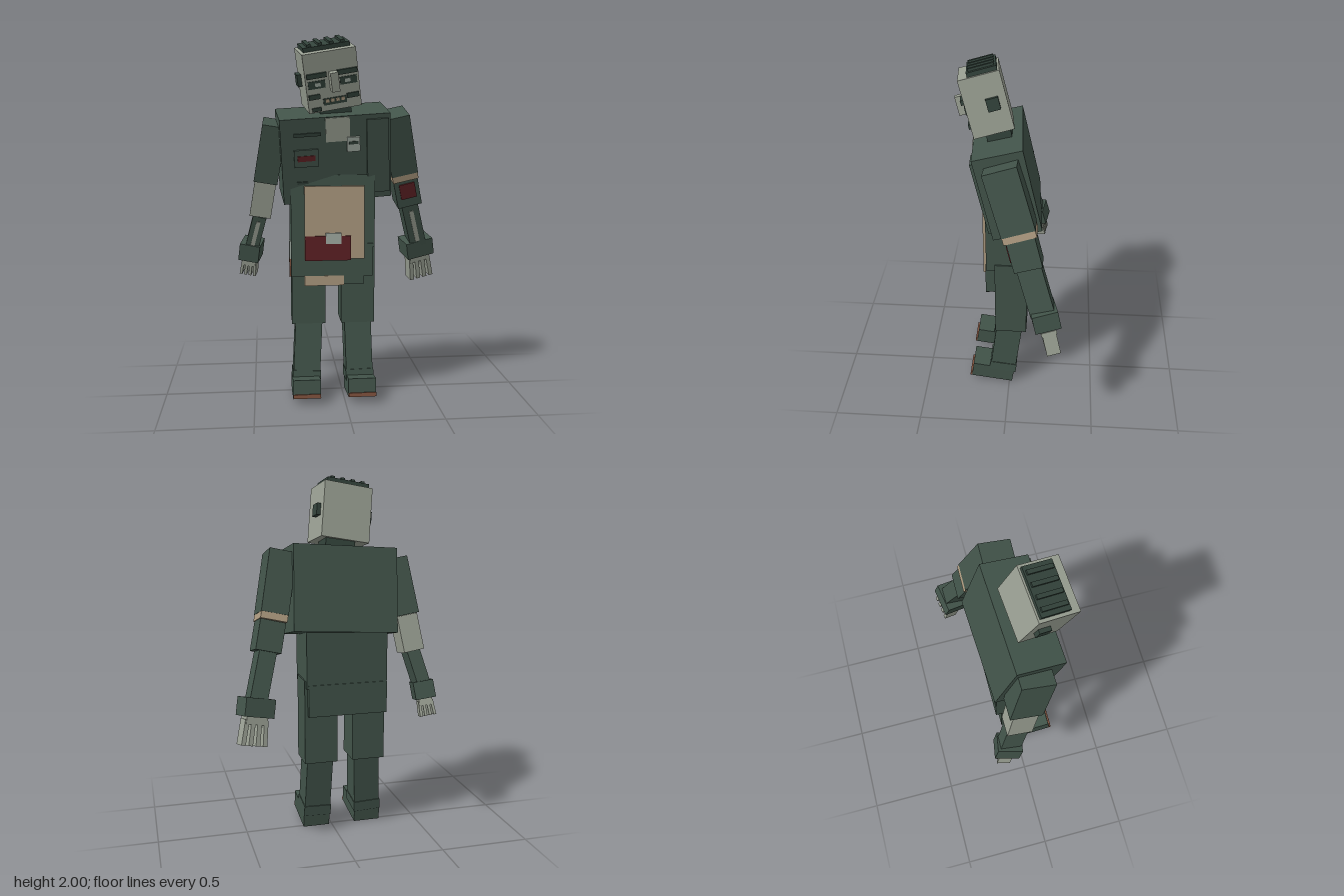
import * as THREE from 'three';

const mat = (name, color) => {
  const m = new THREE.MeshStandardMaterial({ color });
  m.name = name;
  return m;
};

export function createModel() {
  const root = new THREE.Group();
  root.name = 'blockyUndead';

  const green = mat('uniform green', 0x42544a);
  const dark = mat('dark green', 0x33433b);
  const grey = mat('pale skin', 0x9ba194);
  const beige = mat('cloth beige', 0xae9b80);
  const red = mat('dark red', 0x5e2124);
  const brown = mat('brown', 0x7d503c);
  const pale = mat('pale tag', 0xa3ada4);

  const rad = THREE.MathUtils.degToRad;
  const group = (name, x, y, z, rx = 0, ry = 0, rz = 0) => {
    const g = new THREE.Group();
    g.name = name;
    g.position.set(x, y, z);
    g.rotation.set(rad(rx), rad(ry), rad(rz));
    root.add(g);
    return g;
  };
  const box = (parent, name, material, w, h, d, x = 0, y = 0, z = 0) => {
    const m = new THREE.Mesh(new THREE.BoxGeometry(w, h, d), material);
    m.name = name;
    m.position.set(x, y, z);
    parent.add(m);
    return m;
  };
  // group whose y axis runs from b up to a, with z kept towards the front
  const limb = (name, a, b) => {
    const A = new THREE.Vector3(...a), B = new THREE.Vector3(...b);
    const g = group(name, 0, 0, 0);
    g.position.copy(A).add(B).multiplyScalar(0.5);
    const y = A.clone().sub(B).normalize();
    const x = y.clone().cross(new THREE.Vector3(0, 0, 1)).normalize();
    const z = x.clone().cross(y);
    g.quaternion.setFromRotationMatrix(new THREE.Matrix4().makeBasis(x, y, z));
    g.userData.length = A.distanceTo(B);
    return g;
  };
  const limbBox = (name, material, a, b, w, d) => {
    const g = limb(name, a, b);
    box(g, name + 'Block', material, w, g.userData.length, d);
    return g;
  };

  // Head
  const head = group('head', -0.087, 1.785, 0.134, 14, 8, 8);
  box(head, 'skull', grey, 0.285, 0.31, 0.215);
  box(head, 'hair', dark, 0.25, 0.025, 0.155, 0, 0.165, -0.02);
  for (let i = 0; i < 4; i++) {
    box(head, 'hairRidge', dark, 0.022, 0.015, 0.135, -0.09 + i * 0.06, 0.183, -0.02);
  }
  const f = 0.108;
  for (const s of [-1, 1]) {
    box(head, 'ear', dark, 0.03, 0.065, 0.065, s * 0.15, 0, -0.035);
    box(head, 'brow', dark, 0.105, 0.025, 0.03, s * 0.082, 0.04, f);
    box(head, 'eyeSocket', dark, 0.09, 0.04, 0.01, s * 0.085, -0.008, f);
    box(head, 'eye', pale, 0.03, 0.018, 0.008, s * 0.08, -0.008, f + 0.004);
  }
  box(head, 'rightCheekScar', dark, 0.06, 0.025, 0.02, -0.105, -0.07, f);
  box(head, 'leftCheekScar', dark, 0.065, 0.025, 0.02, 0.1, -0.09, f);
  box(head, 'chinScar', dark, 0.05, 0.02, 0.015, -0.1, -0.138, f);
  box(head, 'nose', grey, 0.042, 0.1, 0.06, 0.005, 0, f + 0.018);
  box(head, 'mouth', dark, 0.125, 0.035, 0.012, 0.002, -0.105, f);
  for (let i = 0; i < 4; i++) {
    box(head, 'tooth', beige, 0.018, 0.016, 0.009, -0.04 + i * 0.028, -0.1, f + 0.005);
  }
  const neck = group('neck', -0.05, 1.63, 0.065, 12, 4, 5);
  box(neck, 'neckBlock', dark, 0.17, 0.16, 0.13);

  // Chest with jacket details on its front plane
  const chest = group('chest', -0.05, 1.375, 0.018, 13, 4, 3);
  box(chest, 'jacket', green, 0.595, 0.47, 0.265);
  const c = 0.133;
  box(chest, 'leftVestPanel', green, 0.12, 0.41, 0.03, 0.225, 0.005, c);
  box(chest, 'undershirt', grey, 0.13, 0.13, 0.012, 0.01, 0.165, c);
  box(chest, 'nameTag', pale, 0.07, 0.08, 0.02, 0.092, 0.08, c + 0.004);
  box(chest, 'tagStripe', dark, 0.05, 0.016, 0.008, 0.092, 0.09, c + 0.014);
  box(chest, 'pocketFlap', dark, 0.145, 0.018, 0.016, -0.155, 0.147, c);
  box(chest, 'pocket', green, 0.13, 0.095, 0.024, -0.165, 0.02, c);
  box(chest, 'pocketBadge', red, 0.095, 0.03, 0.008, -0.165, 0.02, c + 0.012);
  for (const x of [-0.19, 0.1]) box(chest, 'slit', dark, 0.06, 0.013, 0.012, x, -0.118, c);

  // Abdomen, pelvis and apron
  box(root, 'abdomen', green, 0.46, 0.4, 0.255, -0.06, 1.06, 0);
  box(root, 'pelvis', green, 0.45, 0.18, 0.265, -0.065, 0.79, 0);
  box(root, 'apron', beige, 0.327, 0.4, 0.02, -0.053, 1.0, 0.138);
  box(root, 'apronPouch', red, 0.25, 0.135, 0.02, -0.09, 0.86, 0.146);
  box(root, 'pouchClasp', pale, 0.085, 0.06, 0.015, -0.06, 0.915, 0.154);
  box(root, 'frontFlap', green, 0.325, 0.15, 0.02, -0.053, 0.73, 0.128);
  box(root, 'tornHem', beige, 0.217, 0.055, 0.012, -0.109, 0.677, 0.134);
  box(root, 'hipStrap', pale, 0.012, 0.1, 0.06, -0.292, 0.84, 0.05);
  box(root, 'hipStrapEnd', brown, 0.012, 0.1, 0.06, -0.292, 0.74, 0.05);

  // Legs
  for (const [side, x, tilt] of [['right', -0.193, -3], ['left', 0.083, 1.5]]) {
    box(root, side + 'Thigh', green, 0.187, 0.48, 0.18, x, 0.66, -0.01);
    const shin = group(side + 'Shin', x + (tilt < 0 ? -0.007 : 0.004), 0.265, 0.02, -7, 0, tilt);
    box(shin, 'shinBlock', green, 0.15, 0.37, 0.15);
    box(shin, 'ankleCuff', green, 0.157, 0.06, 0.16, 0, -0.15, 0);
    const shoe = group(side + 'Shoe', x + (tilt < 0 ? -0.02 : 0.01), 0.07, 0.1, -8);
    box(shoe, 'shoeBlock', green, 0.153, 0.1, 0.25);
    box(shoe, 'toeStrip', brown, 0.153, 0.022, 0.02, 0, -0.038, 0.125);
  }

  // Arm from the cuff down: cuff, palm and four fingers
  const hand = (side, wrist, tip, w, yaw) => {
    const g = limb(side + 'Hand', wrist, tip);
    g.rotateY(rad(yaw));
    const L = g.userData.length;
    box(g, 'cuff', green, w + 0.025, 0.1, 0.14, 0, L / 2 + 0.005, 0);
    box(g, 'palm', grey, w * 0.85, 0.05, 0.085, 0, L / 2 - 0.06, 0);
    for (let i = 0; i < 4; i++) {
      const finger = box(g, 'finger', grey, w * 0.17, L - 0.06, 0.075,
        (i - 1.5) * w * 0.27, -0.03, 0);
      finger.rotation.z = (i - 1.5) * 0.04;
    }
  };

  // Left arm, with an intact sleeve
  limbBox('leftUpperArm', green, [0.28, 1.59, 0.035], [0.35, 1.27, -0.065], 0.15, 0.18);
  limbBox('leftSleeveTrim', beige, [0.35, 1.27, -0.065], [0.358, 1.235, -0.076], 0.147, 0.175);
  const sleeve = limbBox('leftLowerSleeve', green, [0.358, 1.235, -0.076], [0.395, 1.08, -0.12], 0.14, 0.15);
  box(sleeve, 'armBadge', red, 0.09, 0.09, 0.016, 0.002, 0.015, 0.075);
  const leftFore = limbBox('leftForearm', green, [0.395, 1.08, -0.12], [0.465, 0.83, -0.2], 0.095, 0.13);
  box(leftFore, 'forearmStripe', grey, 0.025, 0.2, 0.008, 0, 0, 0.066);
  hand('left', [0.468, 0.8, -0.21], [0.5, 0.61, -0.255], 0.14, 10);

  // Right arm, with a bare elbow
  limbBox('rightUpperArm', green, [-0.37, 1.54, 0.055], [-0.422, 1.23, -0.015], 0.13, 0.18);
  limbBox('rightBareElbow', grey, [-0.422, 1.23, -0.015], [-0.455, 1.03, -0.055], 0.118, 0.14);
  const rightFore = limbBox('rightForearm', green, [-0.455, 1.03, -0.055], [-0.507, 0.83, -0.115], 0.075, 0.12);
  box(rightFore, 'forearmStripe', grey, 0.022, 0.16, 0.008, 0, 0, 0.061);
  hand('right', [-0.51, 0.81, -0.12], [-0.528, 0.67, -0.155], 0.09, -10);

  return root;
}
